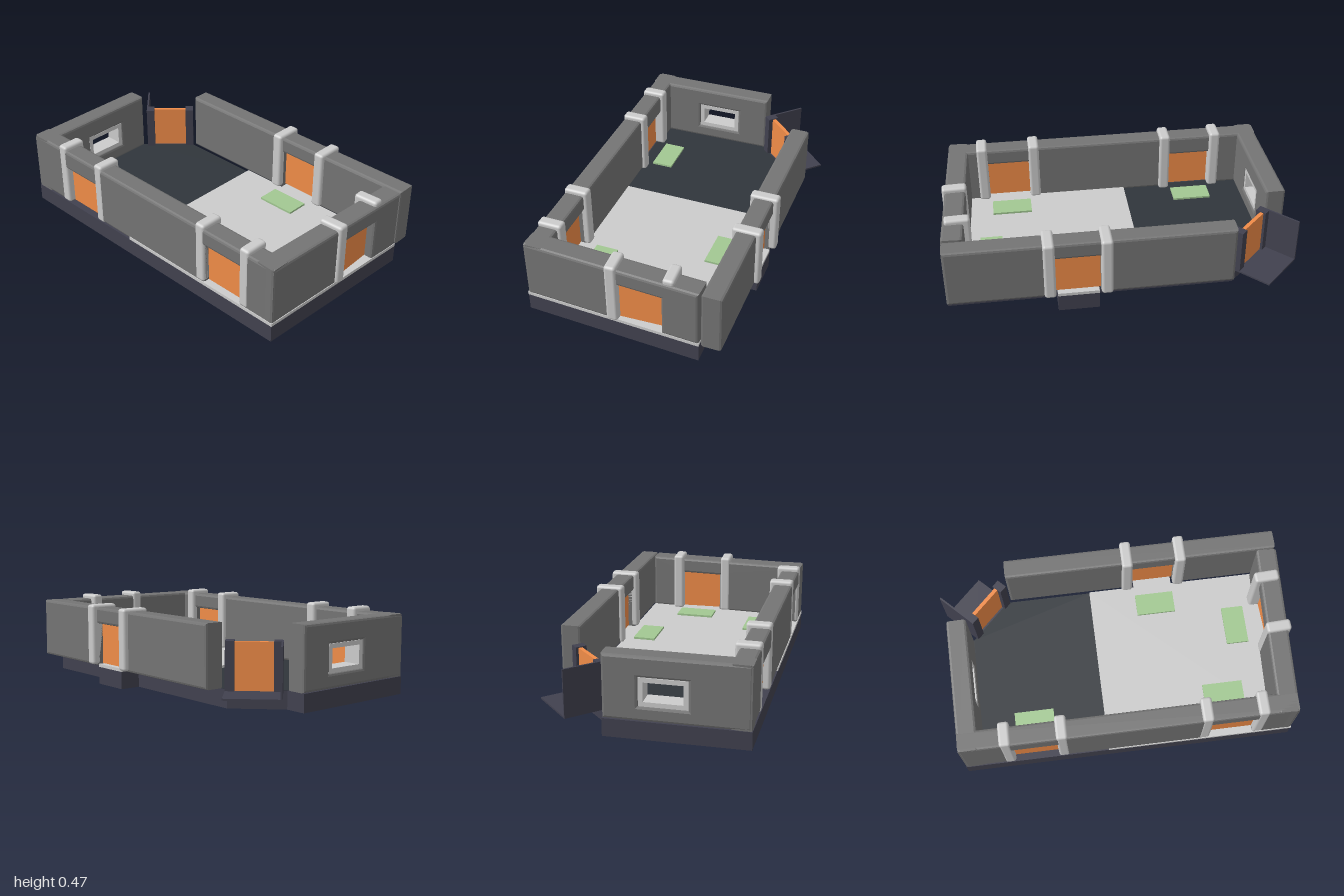
import * as THREE from 'three';
import { RoundedBoxGeometry } from 'three/addons/geometries/RoundedBoxGeometry.js';

const mat = (color) => new THREE.MeshStandardMaterial({ color });
const WALL = mat(0x747474), TRIM = mat(0xcccccc), BASE = mat(0x41414f);
const FLOOR = mat(0x30353b), ORANGE = mat(0xf08c48), GREEN = mat(0xa2c892);
const TOP = 0.45, BEVEL = 0.014;

export function createModel() {
  const model = new THREE.Group();

  const add = (name, geometry, material, parent = model) => {
    const mesh = new THREE.Mesh(geometry, material);
    mesh.name = name;
    parent.add(mesh);
    return mesh;
  };

  // box given by its min and max corners
  const box = (name, [x0, y0, z0], [x1, y1, z1], material, parent, radius = 0) => {
    const size = [x1 - x0, y1 - y0, z1 - z0];
    const geometry = radius
      ? new RoundedBoxGeometry(...size, 2, radius)
      : new THREE.BoxGeometry(...size);
    geometry.translate((x0 + x1) / 2, (y0 + y1) / 2, (z0 + z1) / 2);
    return add(name, geometry, material, parent);
  };

  // flat slab with an [x, z] outline
  const slab = (name, outline, y0, y1, material) => {
    const shape = new THREE.Shape(outline.map(([x, z]) => new THREE.Vector2(x, -z)));
    const geometry = new THREE.ExtrudeGeometry(shape, { depth: y1 - y0, bevelEnabled: false });
    geometry.rotateX(-Math.PI / 2).translate(0, y0, 0);
    return add(name, geometry, material);
  };

  // bevelled wall along a centre line, with door notches and an optional window
  const wall = (name, [ax, az], [bx, bz], thickness, y0, doors, window) => {
    const length = Math.hypot(bx - ax, bz - az);
    const shape = new THREE.Shape();
    shape.moveTo(0, y0);
    for (const [from, to, head] of doors) {
      shape.lineTo(from, y0);
      shape.lineTo(from, head);
      shape.lineTo(to, head);
      shape.lineTo(to, y0);
    }
    shape.lineTo(length, y0);
    shape.lineTo(length, TOP);
    shape.lineTo(0, TOP);
    shape.closePath();
    if (window) shape.holes.push(rect(...window));
    const geometry = new THREE.ExtrudeGeometry(shape, {
      depth: thickness - 2 * BEVEL, bevelThickness: BEVEL, bevelSize: BEVEL,
      bevelOffset: -BEVEL, bevelSegments: 2,
    });
    geometry.translate(0, 0, BEVEL - thickness / 2);
    const mesh = add(name, geometry, WALL);
    mesh.position.set(ax, 0, az);
    mesh.rotation.y = Math.atan2(az - bz, bx - ax);
    return mesh;
  };

  // base with a cut corner and a step under the back door
  slab('base', [[-0.96, -0.19], [-0.945, 0.585], [0.955, 0.585], [1, -0.41],
    [0.39, -0.41], [0.39, -0.53], [0.16, -0.53], [0.16, -0.41], [-0.62, -0.41], [-0.84, -0.19]],
  0, 0.1, BASE);
  slab('darkFloor', [[-0.85, -0.18], [-0.85, 0.5], [-0.11, 0.5], [-0.11, -0.41], [-0.62, -0.41],
    [-0.84, -0.19]], 0.1, 0.103, FLOOR);
  slab('lightFloor', [[-0.115, -0.41], [-0.115, 0.587], [0.957, 0.587], [1, -0.41]], 0.1, 0.118, TRIM);
  box('backSill', [0.16, 0.1, -0.53], [0.39, 0.118, -0.41], TRIM);

  // walls
  wall('frontWall', [-0.945, 0.525], [0.955, 0.525], 0.115, 0.103,
    [[0.29, 0.545, 0.335], [1.42, 1.67, 0.355]]);
  wall('backWall', [-0.6, -0.475], [0.995, -0.475], 0.115, 0.106, [[0.75, 1.0, 0.355]]);
  wall('rightWall', [0.94, -0.41], [0.896, 0.582], 0.12, 0.112, [[0.205, 0.455, 0.355]]);
  const leftWall = wall('leftWall', [-0.9, -0.19], [-0.888, 0.582], 0.115, 0.1, [],
    [0.19, 0.18, 0.45, 0.335]);

  // square outer corners
  for (const [x0, x1] of [[-0.944, -0.88], [0.88, 0.954]]) {
    box('cornerFill', [x0, 0.101, 0.5], [x1, TOP - BEVEL, 0.581], WALL);
  }

  // window frame
  const frame = rect(0.19, 0.18, 0.45, 0.335);
  frame.holes.push(rect(0.215, 0.205, 0.425, 0.31));
  const frameGeometry = new THREE.ExtrudeGeometry(frame, { depth: 0.1, bevelEnabled: false });
  add('windowFrame', frameGeometry.translate(0, 0, -0.05), TRIM, leftWall);

  // doors, each a panel between two pillars that clasp the wall
  const door = (name, x, z, angle, floorY, head, inner, outer, top) => {
    const group = new THREE.Group();
    group.name = name;
    group.position.set(x, 0, z);
    group.rotation.y = angle;
    model.add(group);
    box('doorPanel', [-0.13, floorY, -0.02], [0.13, head + 0.01, 0.02], ORANGE, group);
    for (const s of [-1, 1]) {
      box('doorPillar', [s * 0.157 - 0.032, floorY - 0.005, -inner],
        [s * 0.157 + 0.032, top, outer], TRIM, group, 0.016);
    }
  };
  door('frontRightDoor', -0.528, 0.525, 0, 0.103, 0.335, 0.08, 0.06, 0.475);
  door('frontLeftDoor', 0.6, 0.525, 0, 0.118, 0.355, 0.08, 0.06, 0.475);
  door('backDoor', 0.275, -0.475, Math.PI, 0.118, 0.355, 0.08, 0.085, 0.465);
  door('leftDoor', 0.925, -0.08, Math.PI / 2 + 0.044, 0.118, 0.355, 0.08, 0.062, 0.475);

  // green floor mats in front of the doors
  for (const [x0, x1, z0, z1, y] of [
    [0.16, 0.39, -0.35, -0.22, 0.118], [0.67, 0.8, -0.2, 0.03, 0.118],
    [0.48, 0.715, 0.27, 0.4, 0.118], [-0.64, -0.41, 0.3, 0.425, 0.103],
  ]) box('floorMat', [x0, y, z0], [x1, y + 0.012, z1], GREEN);

  // diagonal corner entrance with a thin landing and one side screen
  const entrance = new THREE.Group();
  entrance.name = 'cornerEntrance';
  entrance.position.set(-0.715, 0, -0.305);
  entrance.rotation.y = Math.PI / 4;
  model.add(entrance);
  box('landing', [-0.149, 0.09, -0.248], [0.149, 0.1, 0], BASE, entrance);
  box('sideScreen', [-0.149, 0.09, -0.248], [-0.139, 0.36, 0], BASE, entrance);
  box('entrancePanel', [-0.11, 0.1, -0.04], [0.11, 0.355, -0.018], ORANGE, entrance);
  for (const s of [-1, 1]) {
    box('entrancePost', [s * 0.125 - 0.024, 0.1, -0.055], [s * 0.125 + 0.024, 0.36, 0.008], BASE, entrance);
  }

  return model;
}

// rectangular outline
function rect(x0, y0, x1, y1) {
  return new THREE.Shape([[x0, y0], [x1, y0], [x1, y1], [x0, y1]].map((p) => new THREE.Vector2(...p)));
}
